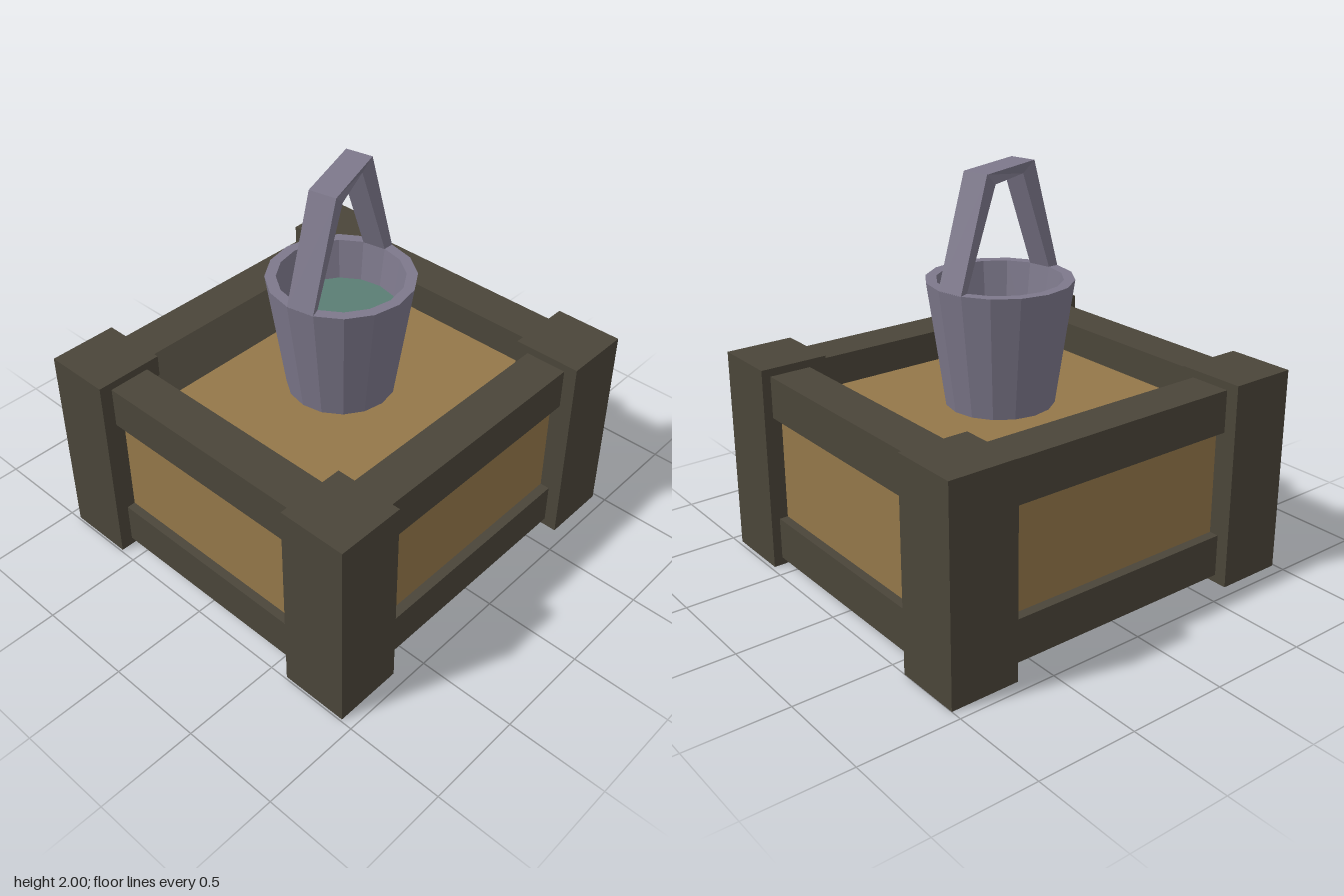
import * as THREE from 'three';

const mat = (name, color) => Object.assign(new THREE.MeshStandardMaterial({ color }), { name });

export function createModel() {
  const model = new THREE.Group();
  const frame = mat('dark timber', 0x4a4539);
  const wood = mat('golden wood', 0x947749);
  const metal = mat('grey metal', 0x7d788b);
  const water = mat('green water', 0x5a7d74);

  const add = (name, geometry, material) => {
    const mesh = new THREE.Mesh(geometry, material);
    mesh.name = name;
    model.add(mesh);
    return mesh;
  };
  // Box given by its limits on each axis
  const box = (name, material, x0, x1, y0, y1, z0, z1) => {
    const g = new THREE.BoxGeometry(x1 - x0, y1 - y0, z1 - z0);
    g.translate((x0 + x1) / 2, (y0 + y1) / 2, (z0 + z1) / 2);
    return add(name, g, material);
  };
  const flat = (geometry) => {
    const g = geometry.index ? geometry.toNonIndexed() : geometry;
    g.computeVertexNormals();
    return g;
  };

  // Corner posts
  for (const [x0, z0] of [[-0.94, -1], [-0.94, 0.64], [0.59, -0.98], [0.59, 0.64]]) {
    box('cornerPost', frame, x0, x0 + 0.347, 0, 1.047, z0, z0 + 0.35);
  }

  // Rails between the posts, low and high
  for (const [y0, y1] of [[0.04, 0.255], [0.795, 1.008]]) {
    box('frontRail', frame, -0.62, 0.62, y0, y1, 0.71, 0.925);
    box('backRail', frame, -0.62, 0.62, y0, y1, -0.935, -0.72);
    box('leftRail', frame, 0.655, 0.87, y0, y1, -0.7, 0.7);
  }
  box('rightLowerRail', frame, -0.875, -0.66, 0.04, 0.255, -0.7, 0.7);

  // Upper rail with a sloping inner side
  const section = new THREE.Shape([
    [-0.875, 0.795], [-0.515, 0.795], [-0.515, 0.85], [-0.66, 1.008], [-0.875, 1.008],
  ].map(([x, y]) => new THREE.Vector2(x, y)));
  const slopedRail = new THREE.ExtrudeGeometry(section, { depth: 1.44, bevelEnabled: false });
  slopedRail.translate(0, 0, -0.725);
  add('rightUpperRail', slopedRail, frame);

  // Wooden walls and top, open below
  box('frontPanel', wood, -0.7, 0.7, 0.15, 0.84, 0.76, 0.88);
  box('backPanel', wood, -0.7, 0.7, 0.15, 0.84, -0.89, -0.77);
  box('leftPanel', wood, 0.7, 0.82, 0.15, 0.84, -0.75, 0.75);
  box('rightPanel', wood, -0.825, -0.705, 0.15, 0.84, -0.75, 0.75);
  box('topPanel', wood, -0.73, 0.73, 0.66, 0.85, -0.79, 0.78);

  // Bucket with a thick rim
  const profile = [[0, 0.85], [0.268, 0.85], [0.356, 1.467], [0.303, 1.467], [0.255, 1.15], [0, 1.15]]
    .map(([x, y]) => new THREE.Vector2(x, y));
  add('bucket', flat(new THREE.LatheGeometry(profile, 16)), metal).position.z = -0.01;

  // Water surface
  const surface = new THREE.CircleGeometry(0.275, 16);
  surface.rotateX(-Math.PI / 2);
  add('water', surface, water).position.set(0, 1.27, -0.01);

  // Handle: four-cornered sections up one leg and down the opposite one
  const base = [[0, 1.465, 0.356], [0.136, 1.465, 0.329], [0.116, 1.465, 0.28], [0, 1.465, 0.303]];
  const top = [[0, 2, 0.205], [0.136, 2, 0.178], [0.116, 1.945, 0.115], [0, 1.945, 0.138]];
  const opposite = (s) => [1, 0, 3, 2].map((k) => [-s[k][0], s[k][1], -s[k][2]]);
  const sections = [base, top, opposite(top), opposite(base)];
  const points = [];
  for (let i = 0; i < 3; i++) {
    for (let k = 0; k < 4; k++) {
      const n = (k + 1) % 4;
      const a = sections[i][k], b = sections[i][n];
      const c = sections[i + 1][n], d = sections[i + 1][k];
      points.push(...a, ...b, ...c, ...a, ...c, ...d);
    }
  }
  const handle = new THREE.BufferGeometry();
  handle.setAttribute('position', new THREE.Float32BufferAttribute(points, 3));
  add('handle', flat(handle), metal).position.z = -0.01;

  return model;
}
